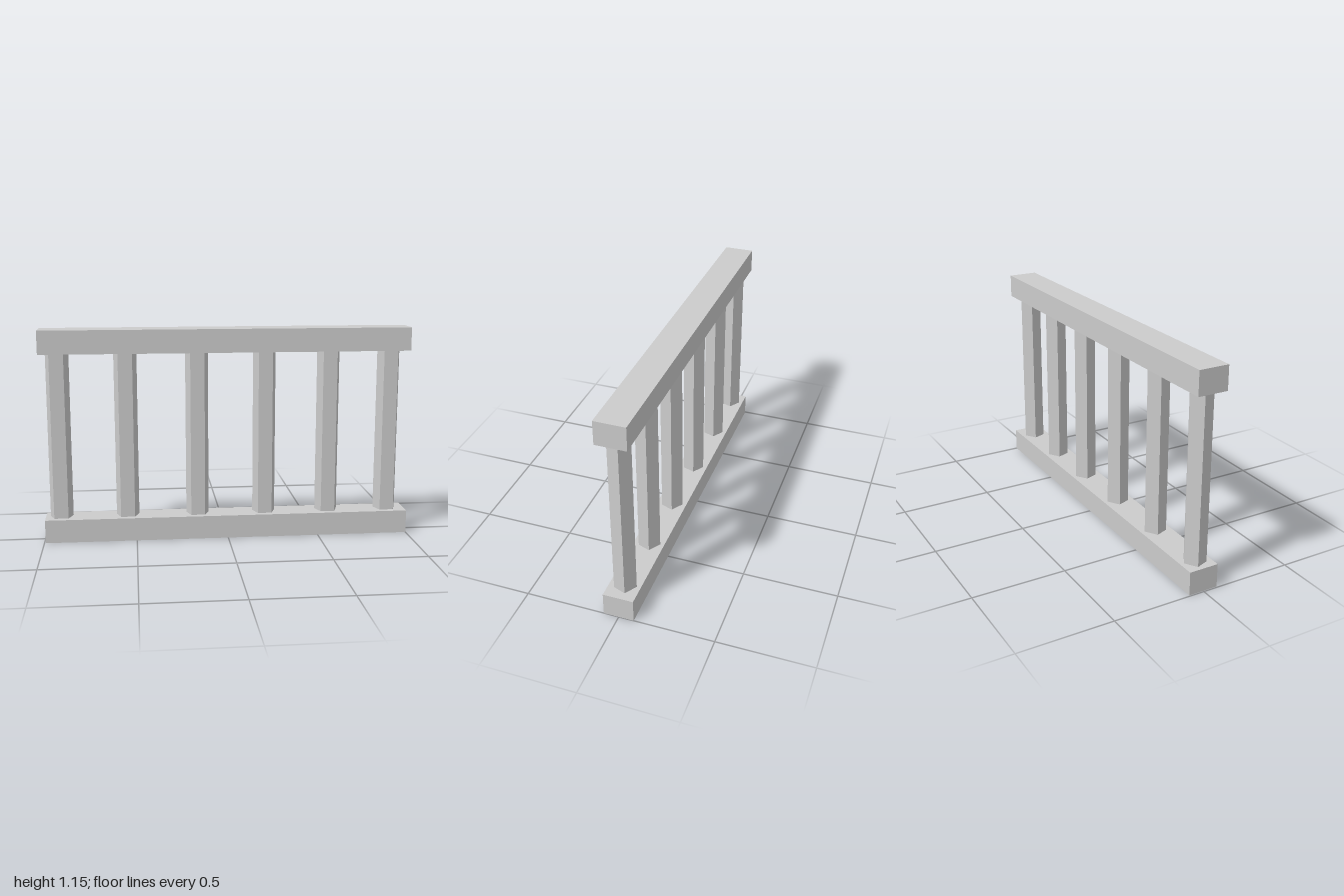
import * as THREE from 'three';

export function createModel() {
  const group = new THREE.Group();
  group.name = 'railing';
  const material = new THREE.MeshStandardMaterial({ color: 0xcccccc, flatShading: true });

  const add = (name, geometry, x, y) => {
    const mesh = new THREE.Mesh(geometry, material);
    mesh.name = name;
    mesh.position.set(x, y, 0);
    group.add(mesh);
    return mesh;
  };

  // Horizontal rails, very slightly offset from each other
  const rail = new THREE.BoxGeometry(1.993, 0.126, 0.16);
  add('bottomRail', rail, 0.0035, 0.063);
  add('topRail', rail, -0.0035, 1.085);

  // Five-sided balusters, flat face forward, slightly uneven spacing
  const bottom = 0.12, top = 1.03;
  const post = new THREE.CylinderGeometry(1, 1, top - bottom, 5, 1, false, Math.PI);
  post.scale(0.065, 1, 0.0587);
  [-0.907, -0.547, -0.163, 0.206, 0.559, 0.894].forEach((x, i) =>
    add(`baluster${i + 1}`, post, x, (top + bottom) / 2));

  return group;
}
